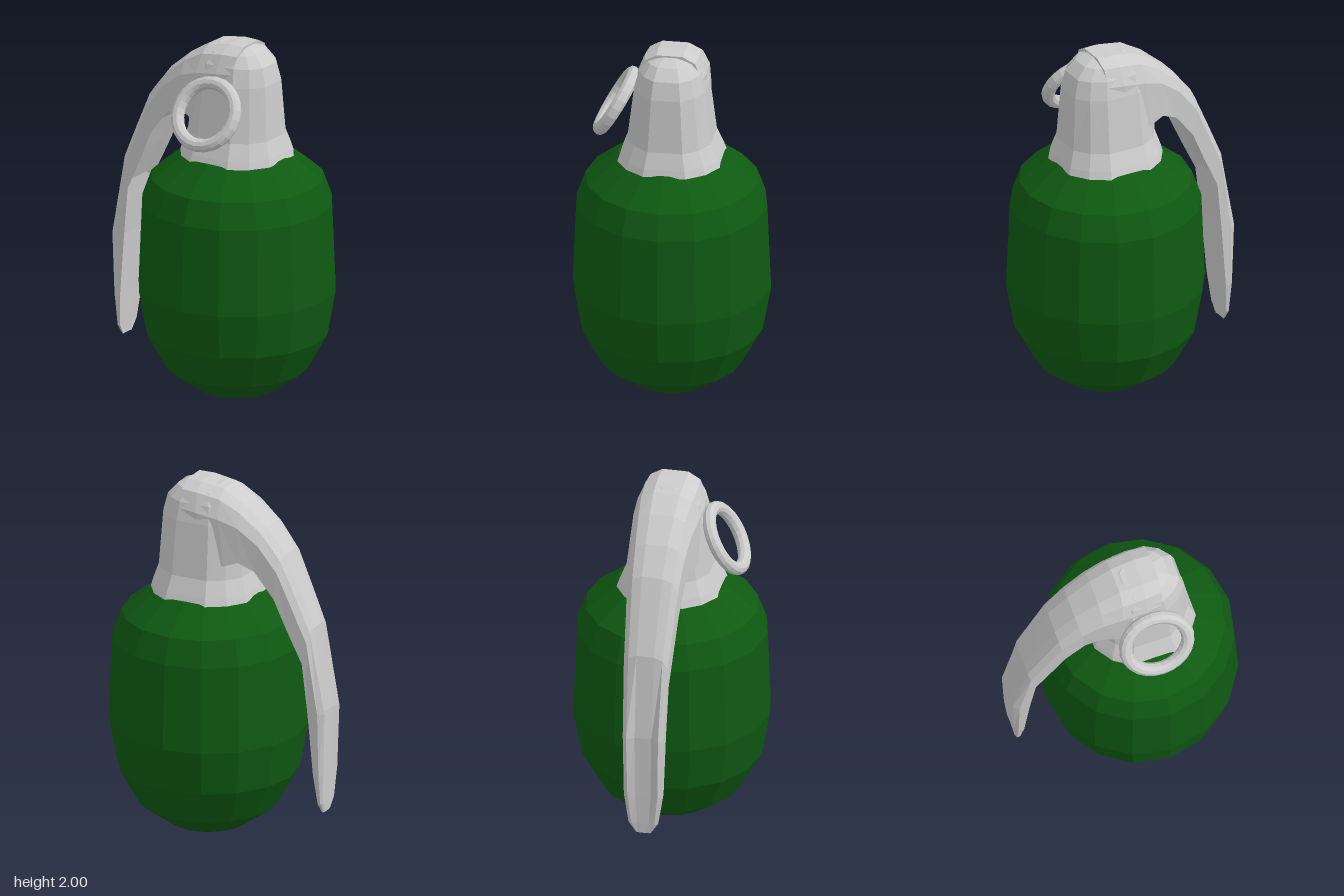
import * as THREE from 'three';

const green = new THREE.MeshStandardMaterial({ color: 0x0f5a12, flatShading: true });
const grey = new THREE.MeshStandardMaterial({ color: 0xcccccc, flatShading: true });

// Skin a list of equal-length rings of [x, y, z], closing both ends
function loft(rings) {
  const n = rings[0].length, pos = rings.flat(2), idx = [];
  for (let i = 0; i < rings.length - 1; i++) {
    for (let j = 0; j < n; j++) {
      const k = (j + 1) % n;
      const a = i * n + j, b = i * n + k, c = a + n, d = b + n;
      idx.push(a, b, d, a, d, c);
    }
  }
  [0, rings.length - 1].forEach((r, end) => {
    const centre = pos.length / 3;
    for (let axis = 0; axis < 3; axis++) pos.push(rings[r].reduce((s, p) => s + p[axis], 0) / n);
    for (let j = 0; j < n; j++) {
      const a = r * n + j, b = r * n + (j + 1) % n;
      idx.push(...(end ? [a, b, centre] : [b, a, centre]));
    }
  });
  const g = new THREE.BufferGeometry();
  g.setAttribute('position', new THREE.Float32BufferAttribute(pos, 3));
  g.setIndex(idx);
  g.computeVertexNormals();
  return g;
}

function add(group, name, geometry, material) {
  const mesh = new THREE.Mesh(geometry, material);
  mesh.name = name;
  group.add(mesh);
  return mesh;
}

export function createModel() {
  const group = new THREE.Group();
  group.name = 'grenade';
  const axisX = 0.1;

  // Rounded 16-sided body
  const profile = [
    [0, 0], [0.21, 0.05], [0.38, 0.17], [0.49, 0.37], [0.535, 0.62],
    [0.515, 1.1], [0.465, 1.24], [0.29, 1.38], [0, 1.4],
  ].map(([r, y]) => new THREE.Vector2(r, y));
  add(group, 'body', new THREE.LatheGeometry(profile, 16), green).position.x = axisX;

  // Domed neck: 12 corners, with wide flats towards the four sides
  const angles = [];
  for (let q = 0; q < 4; q++) for (const a of [22.5, 45, 67.5]) angles.push((q * 90 + a) * Math.PI / 180);
  const neckRings = [
    // y, radius in x, radius in z
    [1.37, 0.31, 0.3], [1.41, 0.3, 0.285], [1.5, 0.27, 0.245], [1.8, 0.25, 0.206],
    [1.9, 0.225, 0.18], [1.96, 0.17, 0.14], [1.99, 0.1, 0.08],
  ].map(([y, rx, rz]) => angles.map(a => [axisX + rx * Math.cos(a), y, -rz * Math.sin(a)]));
  add(group, 'neck', loft(neckRings), grey);

  // Safety lever: a bent channel, tapering to a thin tip
  const stations = [
    // outer x, y, inner x, y, half width, dip of outer face
    [0.19, 2.0, 0.16, 1.62, 0.175, 0],
    [0.1, 2.0, 0.06, 1.6, 0.185, 0],
    [-0.03, 1.98, -0.08, 1.58, 0.178, 0],
    [-0.15, 1.91, -0.16, 1.61, 0.165, 0],
    [-0.28, 1.8, -0.25, 1.57, 0.15, 0],
    [-0.39, 1.66, -0.36, 1.43, 0.14, 0],
    [-0.475, 1.47, -0.43, 1.27, 0.13, 0],
    [-0.56, 1.27, -0.52, 1.08, 0.12, 0],
    [-0.64, 0.8, -0.55, 0.8, 0.112, 0.25],
    [-0.63, 0.45, -0.58, 0.45, 0.105, 0.25],
    [-0.62, 0.28, -0.595, 0.28, 0.08, 0.2],
    [-0.612, 0.22, -0.6, 0.22, 0.04, 0],
  ];
  const leverRings = stations.map(([ox, oy, ix, iy, w, dip]) => {
    // depth: 0 on the outer face, 1 on the inner edge
    const half = [[1, 1], [0.35, 1], [dip ? 0 : 0.1, 0.78], [dip, 0.4]];
    const section = [
      ...half,
      ...half.map(([d, s]) => [d, -s]).reverse(),
      [0.8, -0.6], [0.8, 0.6],
    ];
    return section.map(([d, s]) => [ox + (ix - ox) * d, oy + (iy - oy) * d, s * w]);
  });
  add(group, 'safetyLever', loft(leverRings), grey);

  // Pull ring leaning against the neck
  const ring = add(group, 'pullRing', new THREE.TorusGeometry(0.174, 0.036, 10, 24), grey);
  ring.position.set(axisX, 1.67, 0.3);
  ring.rotation.x = -0.53;

  return group;
}
